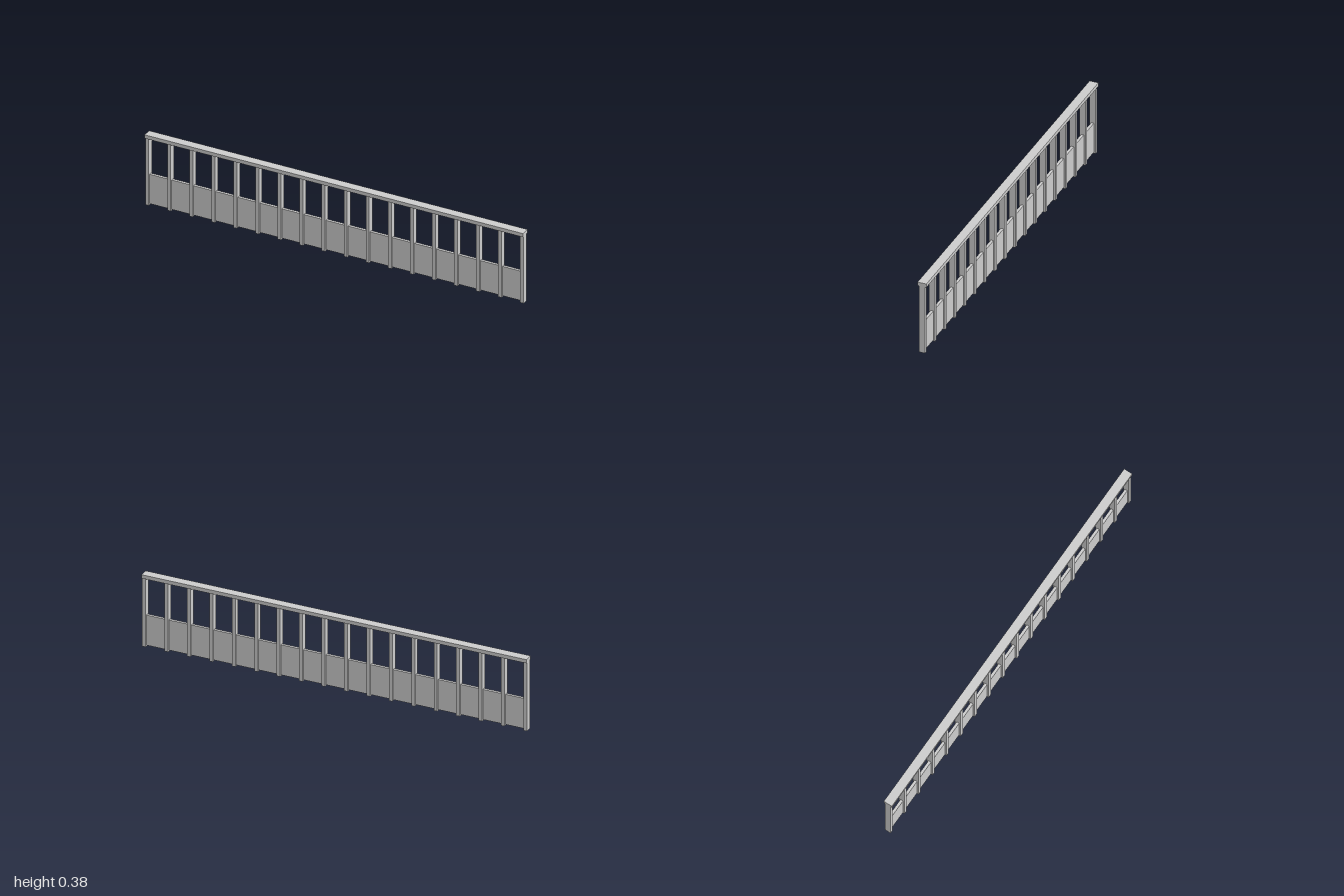
import * as THREE from 'three';

const material = new THREE.MeshStandardMaterial({ color: 0xcccccc, flatShading: true });

// Box spanning y0..y1, centred on z = 0
function bar(name, x, y0, y1, width, depth) {
  const mesh = new THREE.Mesh(new THREE.BoxGeometry(width, y1 - y0, depth), material);
  mesh.name = name;
  mesh.position.set(x, (y0 + y1) / 2, 0);
  return mesh;
}

export function createModel() {
  const model = new THREE.Group();
  model.name = 'railing';

  const bays = 17;
  const postWidth = 0.018;
  const spacing = (2 - postWidth) / bays;

  // Top rail, slightly overlapping the post heads
  model.add(bar('topRail', 0, 0.36, 0.379, 2, 0.045));

  // Evenly spaced posts
  const posts = new THREE.Group();
  posts.name = 'posts';
  for (let i = 0; i <= bays; i++) {
    posts.add(bar('post', (i - bays / 2) * spacing, 0, 0.365, postWidth, 0.031));
  }
  model.add(posts);

  // Thin solid infill in the lower part of each bay
  const panels = new THREE.Group();
  panels.name = 'panels';
  for (let i = 0; i < bays; i++) {
    const x = (i - (bays - 1) / 2) * spacing;
    panels.add(bar('panel', x, 0.006, 0.164, spacing - postWidth, 0.014));
  }
  model.add(panels);

  return model;
}
